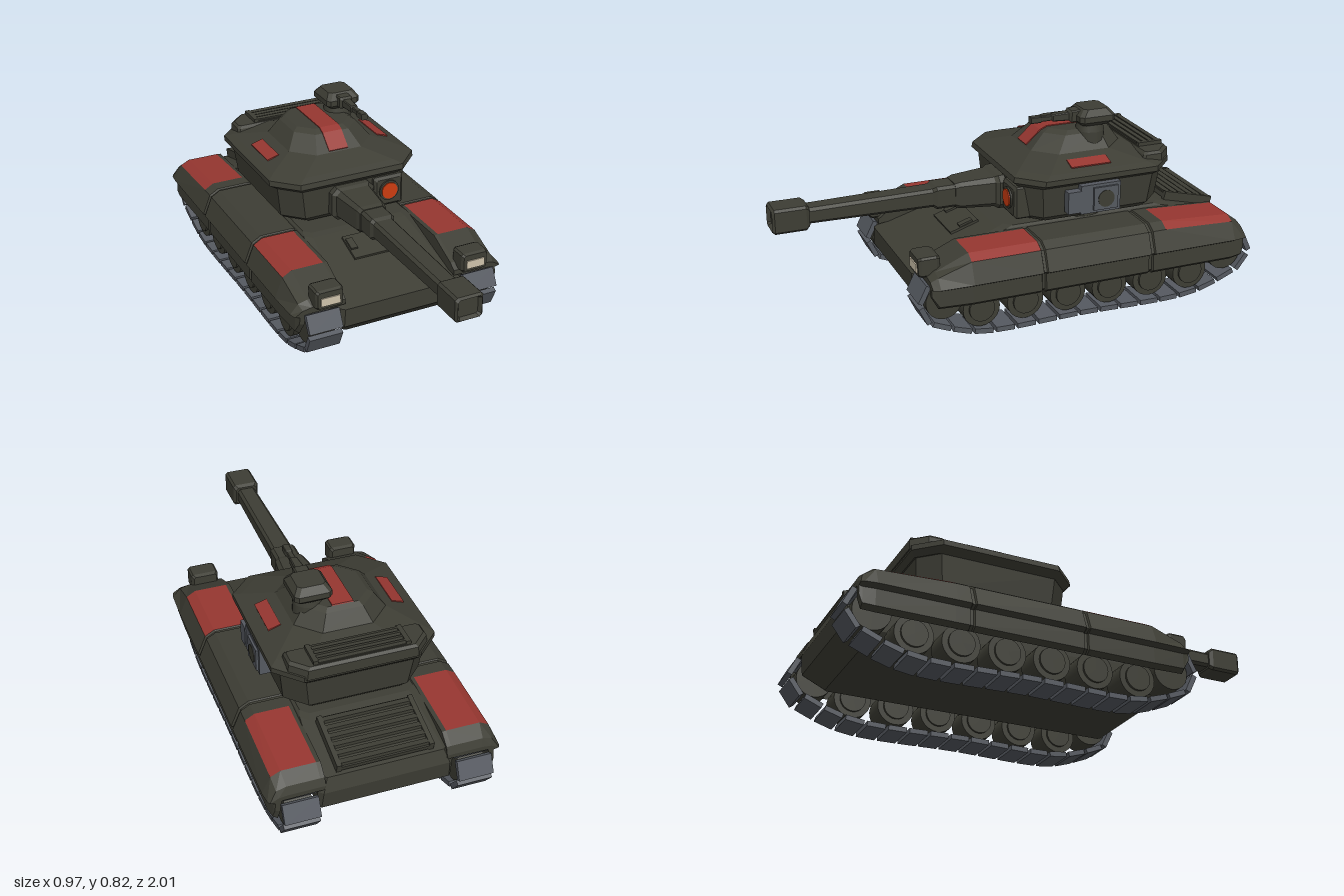
import * as THREE from 'three';

const mat = (name, color) => {
  const m = new THREE.MeshStandardMaterial({ color });
  m.name = name;
  return m;
};

// Skins a list of closed cross-sections, caps both ends; pick(i, j) chooses a material index.
function loft(rings, capAxes, pick = () => 0) {
  const tris = [[], []], n = rings[0].length;
  rings.slice(1).forEach((next, i) => {
    for (let j = 0; j < n; j++) {
      const k = (j + 1) % n, a = rings[i][j], b = rings[i][k], c = next[k], d = next[j];
      tris[pick(i, j)].push([a, b, c], [a, c, d]);
    }
  });
  [rings[0], rings[rings.length - 1]].forEach((ring, end) => {
    const flat = ring.map(p => new THREE.Vector2(p[capAxes[0]], p[capAxes[1]]));
    const flip = (THREE.ShapeUtils.area(flat) < 0) !== (end === 0);
    for (const [a, b, c] of THREE.ShapeUtils.triangulateShape(flat.slice(), [])) {
      tris[0].push(flip ? [ring[a], ring[c], ring[b]] : [ring[a], ring[b], ring[c]]);
    }
  });
  // Turn the skin outward whichever way the sections were wound
  let volume = 0;
  const cross = new THREE.Vector3();
  tris.flat().forEach(([a, b, c]) => { volume += a.dot(cross.crossVectors(b, c)); });
  const pts = tris.flat().flatMap(([a, b, c]) => volume < 0 ? [a, c, b] : [a, b, c]);
  const g = new THREE.BufferGeometry().setFromPoints(pts);
  g.addGroup(0, tris[0].length * 3, 0);
  if (tris[1].length) g.addGroup(tris[0].length * 3, tris[1].length * 3, 1);
  g.computeVertexNormals();
  return g;
}

// Stack of chamfered rectangles: [y, halfWidth, zFront, zBack, cornerFront, cornerBack]
const stack = levels => loft(levels.map(([y, x, f, b, cf, cb = cf]) => [
  [x - cf, f], [x, f - cf], [x, b + cb], [x - cb, b],
  [cb - x, b], [-x, b + cb], [-x, f - cf], [cf - x, f],
].map(([px, pz]) => new THREE.Vector3(px, y, pz))), ['x', 'z']);

// Chamfered rectangles along z: [z, halfWidth, halfHeight, corner]
const along = (levels, cx, cy) => loft(levels.map(([z, w, h, c]) => [
  [w - c, h], [w, h - c], [w, c - h], [w - c, -h], [c - w, -h], [-w, c - h], [-w, h - c], [c - w, h],
].map(([px, py]) => new THREE.Vector3(cx + px, cy + py, z))), ['x', 'y']);

export function createModel() {
  const olive = mat('olive armour', 0x3d3d34);
  const red = mat('red marking', 0x963630);
  const steel = mat('track steel', 0x555960);
  const orange = mat('orange lens', 0xcc3c10);
  const cream = mat('headlight cream', 0xcfc3ac);
  const model = new THREE.Group();
  model.name = 'tank';

  const add = (name, geometry, material, pos = [0, 0, 0], rot = [0, 0, 0], parent = model) => {
    const mesh = new THREE.Mesh(geometry, material);
    mesh.name = name;
    mesh.position.set(...pos);
    mesh.rotation.set(...rot);
    parent.add(mesh);
    return mesh;
  };
  const box = (w, h, d) => new THREE.BoxGeometry(w, h, d);
  const cyl = (r1, r2, h, n = 24) => new THREE.CylinderGeometry(r1, r2, h, n);
  const SIDE = [0, 0, Math.PI / 2], FRONT = [Math.PI / 2, 0, 0];

  // Hull with sloping glacis and rear deck
  add('hull', stack([
    [0.095, 0.235, 0.42, -0.86, 0.01], [0.16, 0.275, 0.49, -0.95, 0.01],
    [0.24, 0.28, 0.49, -0.96, 0.02], [0.30, 0.27, 0.30, -0.94, 0.03],
    [0.365, 0.25, 0.10, -0.68, 0.03], [0.373, 0.24, 0.07, -0.65, 0.03],
  ]), olive);
  add('driverHatch', box(0.21, 0.016, 0.13), olive, [0, 0.335, 0.2], [0.31, 0, 0]);
  for (const s of [-1, 1]) add('hatchHinge', box(0.03, 0.02, 0.06), olive, [s * 0.085, 0.345, 0.19], [0.31, 0, 0]);

  // Louvred engine cover and turret rack share one grille
  const grille = (name, w, d, bars, pos, tilt) => {
    const g = new THREE.Group();
    g.name = name;
    g.position.set(...pos);
    g.rotation.x = tilt;
    model.add(g);
    add('grilleBase', box(w, 0.02, d), olive, [0, 0, 0], [0, 0, 0], g);
    for (const s of [-1, 1]) add('grilleRail', box(0.02, 0.04, d), olive, [s * w / 2, 0.002, 0], [0, 0, 0], g);
    for (let i = 0; i < bars; i++) {
      add('grilleSlat', box(w - 0.02, 0.014, d / bars * 0.6), olive,
        [0, 0.014, ((i + 0.5) / bars - 0.5) * d], [0.25, 0, 0], g);
    }
  };
  grille('engineGrille', 0.38, 0.24, 6, [0, 0.348, -0.815], -0.245);
  grille('turretGrille', 0.38, 0.11, 4, [0, 0.62, -0.615], 0);

  // Fenders: [z, height factor above the belt line, skirt factor, inset]
  const stations = [
    [0.47, 0.25, 0.4, 0.012], [0.44, 0.45, 0.95, 0.004], [0.30, 1, 1, 0], [0.0, 1, 1, 0],
    [-0.004, 0.95, 0.95, 0.008], [-0.016, 0.95, 0.95, 0.008], [-0.02, 1, 1, 0], [-0.49, 1, 1, 0],
    [-0.494, 0.95, 0.95, 0.008], [-0.506, 0.95, 0.95, 0.008], [-0.51, 1, 1, 0],
    [-0.57, 1, 1, 0], [-0.89, 0.84, 1, 0], [-0.94, 0.5, 0.95, 0.006], [-0.953, 0.2, 0.5, 0.012],
  ];
  const fenderSection = [
    [0.25, 0.27], [0.25, 0.36], [0.268, 0.362], [0.41, 0.362], [0.45, 0.338], [0.485, 0.25],
    [0.462, 0.237], [0.466, 0.165], [0.445, 0.148], [0.438, 0.255],
  ];
  const wheelZ = [0.245, 0.052, -0.14, -0.332, -0.524, -0.716];
  // Track run seen from the side: (z, y)
  const trackPath = new THREE.CatmullRomCurve3([
    [0.24, 0.012], [-0.2, 0.012], [-0.7, 0.012], [-0.86, 0.055], [-0.96, 0.11], [-0.986, 0.18], [-0.95, 0.24],
    [-0.86, 0.265], [-0.2, 0.262], [0.38, 0.265], [0.47, 0.245], [0.503, 0.18], [0.475, 0.1], [0.38, 0.05],
  ].map(([z, y]) => new THREE.Vector3(0, y, z)), true, 'centripetal');
  trackPath.arcLengthDivisions = 800;
  const PADS = 34, padLength = trackPath.getLength() / PADS * 0.86;

  for (const s of [-1, 1]) {
    const rings = stations.map(([z, k, skirt, inset]) => fenderSection.map(([x, y]) =>
      new THREE.Vector3(s * (x > 0.4 ? x - inset : x), 0.25 + (y - 0.25) * (y > 0.25 ? k : skirt), z)));
    add('fender', loft(rings, ['x', 'y'], (i, j) => (i === 2 || i === 11) && (j === 2 || j === 3) ? 1 : 0), [olive, red]);

    for (let i = 0; i < PADS; i++) {
      const p = trackPath.getPointAt(i / PADS), t = trackPath.getTangentAt(i / PADS);
      add('trackPad', box(0.147, 0.022, padLength), steel, [s * 0.358, p.y, p.z], [Math.atan2(-t.y, t.z), 0, 0]);
    }
    for (const z of wheelZ) {
      add('roadWheel', cyl(0.08, 0.08, 0.11), olive, [s * 0.358, 0.108, z], SIDE);
      add('wheelHub', cyl(0.055, 0.055, 0.13), olive, [s * 0.358, 0.108, z], SIDE);
    }
    for (const z of [0.405, -0.885]) add('driveWheel', cyl(0.078, 0.078, 0.11), olive, [s * 0.358, 0.168, z], SIDE);

    // Headlight housing and lamp
    add('headlightHousing', along([[0.41, 0.052, 0.035, 0.008], [0.425, 0.061, 0.042, 0.008],
      [0.49, 0.061, 0.042, 0.008], [0.502, 0.054, 0.036, 0.008]], s * 0.332, 0.317), olive);
    add('headlight', box(0.084, 0.036, 0.008), cream, [s * 0.332, 0.311, 0.503]);
    add('turretSideMark', box(0.055, 0.008, 0.18), red, [s * 0.262, 0.615, -0.295], [0, 0, -s * 0.3]);
  }

  // Turret body, overhanging roof and bustle
  add('turretRing', cyl(0.25, 0.25, 0.04, 32), olive, [0, 0.375, -0.3]);
  add('turretBody', stack([
    [0.382, 0.265, -0.02, -0.62, 0.08], [0.405, 0.288, 0.0, -0.64, 0.08], [0.545, 0.305, 0.01, -0.655, 0.08],
  ]), olive);
  add('turretRoof', stack([
    [0.538, 0.305, 0.01, -0.66, 0.08], [0.56, 0.341, 0.035, -0.68, 0.1], [0.583, 0.341, 0.03, -0.68, 0.1],
    [0.597, 0.31, -0.0, -0.65, 0.1], [0.638, 0.195, -0.1, -0.51, 0.09],
    [0.70, 0.148, -0.17, -0.47, 0.07], [0.714, 0.125, -0.2, -0.45, 0.06],
  ]), olive);
  add('turretBustle', stack([
    [0.57, 0.29, -0.53, -0.685, 0.01, 0.06], [0.615, 0.285, -0.545, -0.685, 0.01, 0.06],
    [0.626, 0.275, -0.555, -0.675, 0.01, 0.06],
  ]), olive);

  // Roof stripe following the dome down its front
  const stripe = [[-0.45, 0.714], [-0.2, 0.714], [-0.17, 0.70], [-0.105, 0.642]];
  const stripeLoop = [...stripe.map(([z, y]) => [z + 0.002, y + 0.004]),
    ...stripe.slice().reverse().map(([z, y]) => [z - 0.002, y - 0.004])];
  add('roofStripe', loft([-0.045, 0.045].map(x => stripeLoop.map(([z, y]) => new THREE.Vector3(x, y, z))), ['z', 'y']), red);

  // Main gun: mantlet, stepped barrel and hollow muzzle block
  add('mantlet', along([[-0.03, 0.1, 0.074, 0.025], [0.035, 0.1, 0.074, 0.025],
    [0.05, 0.085, 0.066, 0.02], [0.2, 0.066, 0.058, 0.015], [0.22, 0.06, 0.052, 0.015]], 0, 0.46), olive);
  add('gunBarrel', along([[0.2, 0.056, 0.049, 0.012], [0.30, 0.056, 0.049, 0.012], [0.315, 0.047, 0.04, 0.012],
    [0.86, 0.042, 0.034, 0.012]], 0, 0.46), olive);
  add('muzzle', along([[0.845, 0.05, 0.043, 0.012], [0.86, 0.06, 0.053, 0.01], [0.99, 0.06, 0.053, 0.01],
    [1.0, 0.052, 0.045, 0.01], [0.985, 0.042, 0.036, 0.006]], 0, 0.46), olive);

  // Sight beside the gun
  add('sightHousing', along([[-0.05, 0.07, 0.07, 0.006], [0.02, 0.07, 0.07, 0.006], [0.03, 0.058, 0.058, 0.006]], 0.175, 0.466), olive);
  add('sightRim', cyl(0.046, 0.046, 0.008, 32), olive, [0.174, 0.472, 0.033], FRONT);
  add('sightLens', cyl(0.037, 0.037, 0.008, 32), orange, [0.174, 0.472, 0.038], FRONT);

  // Sensor pod on the left cheek
  add('sensorPod', box(0.045, 0.125, 0.18), steel, [0.313, 0.477, -0.32]);
  add('sensorPodFront', box(0.04, 0.095, 0.06), steel, [0.32, 0.472, -0.2]);
  add('sensorFrame', box(0.012, 0.1, 0.11), steel, [0.339, 0.477, -0.34]);
  add('sensorLens', cyl(0.037, 0.037, 0.008, 32), olive, [0.344, 0.475, -0.34], SIDE);

  // Roof gun on its pedestal
  add('cupolaBase', cyl(0.06, 0.065, 0.1, 12), olive, [0.118, 0.665, -0.365]);
  add('cupolaCollar', cyl(0.054, 0.062, 0.035, 12), olive, [0.118, 0.725, -0.365]);
  const head = stack([
    [0.738, 0.055, 0.055, -0.065, 0.015], [0.758, 0.078, 0.075, -0.085, 0.015],
    [0.782, 0.078, 0.075, -0.085, 0.015], [0.81, 0.058, 0.05, -0.06, 0.015],
  ]);
  add('roofGunHead', head, olive, [0.118, 0, -0.365]);
  add('roofGunBarrel', along([[-0.32, 0.03, 0.026, 0.005], [-0.27, 0.03, 0.026, 0.005], [-0.26, 0.02, 0.018, 0.004],
    [-0.19, 0.016, 0.015, 0.004], [-0.185, 0.012, 0.011, 0.003], [-0.14, 0.012, 0.011, 0.003],
    [-0.135, 0.015, 0.014, 0.003], [-0.09, 0.015, 0.014, 0.003]], 0.116, 0.777), olive);

  return model;
}
